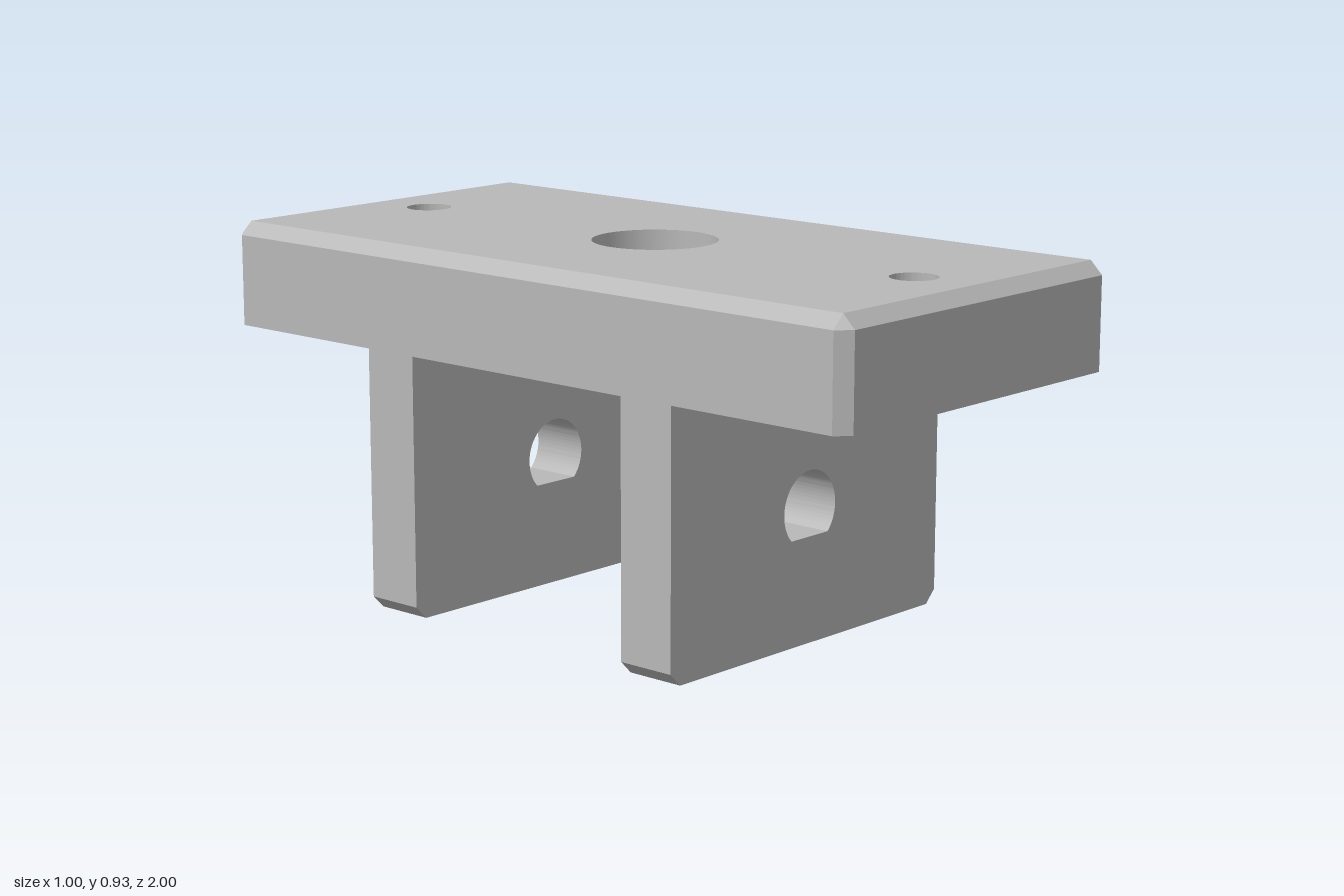
import * as THREE from 'three';
import { toCreasedNormals } from 'three/addons/utils/BufferGeometryUtils.js';

const W = 0.5, L = 1, C = 0.033;                        // half width, half length, chamfer
const BOTTOM = 0.667, SHOULDER = 0.9, TOP = 0.933, FLOOR = 0.765;
const BORE = 0.095, COUNTERBORE = 0.157, SCREW = 0.058, SCREW_Z = 0.8;
const LEG_INNER = 0.345, LEG_OUTER = 0.5;

const polygon = (points) => new THREE.Shape(points.map(([x, y]) => new THREE.Vector2(x, y)));

function circle(r, y = 0) {
  return new THREE.Path().absarc(0, y, r, 0, Math.PI * 2, true);
}

// Flat horizontal face with round holes, looking up or down
function flatFace(shape, holes, y, up) {
  shape.holes.push(...holes);
  return new THREE.ShapeGeometry(shape, 48)
    .rotateX(up ? -Math.PI / 2 : Math.PI / 2).translate(0, y, 0);
}

// Inward-facing wall of a round hole
function holeWall(r, y0, y1, z = 0) {
  const g = new THREE.CylinderGeometry(r, r, y1 - y0, 64, 1, true);
  g.scale(-1, 1, 1).translate(0, (y0 + y1) / 2, z);
  return toCreasedNormals(g, 0.6);
}

// Side walls and top chamfers, joined through three loops of eight corners
function plateSides(outline, topOutline) {
  const loops = [
    outline.map(([x, y]) => [x, BOTTOM, -y]),
    outline.map(([x, y]) => [x, SHOULDER, -y]),
    topOutline.map(([x, y]) => [x, TOP, -y]),
  ];
  const pos = [];
  for (let k = 0; k < 2; k++) {
    for (let i = 0; i < 8; i++) {
      const j = (i + 1) % 8;
      const a = loops[k][i], b = loops[k][j], c = loops[k + 1][j], d = loops[k + 1][i];
      pos.push(...a, ...b, ...c);
      // the corner facets close to a single point at the top
      if (k === 0 || i % 2 === 1) pos.push(...a, ...c, ...d);
    }
  }
  const g = new THREE.BufferGeometry();
  g.setAttribute('position', new THREE.Float32BufferAttribute(pos, 3));
  g.computeVertexNormals();
  return g;
}

// Leg with chamfered lower corners and a teardrop hole
function legGeometry() {
  const shape = polygon([[-W + C, 0], [W - C, 0], [W, C], [W, BOTTOM], [-W, BOTTOM], [-W, C]]);
  const r = 0.096, cy = 0.334;
  const hole = new THREE.Path();
  hole.moveTo(0, cy - r * Math.SQRT2);
  hole.absarc(0, cy, r, -Math.PI / 4, Math.PI * 1.25, false);
  hole.closePath();
  shape.holes.push(hole);
  const g = new THREE.ExtrudeGeometry(shape, {
    depth: LEG_OUTER - LEG_INNER, bevelEnabled: false, curveSegments: 48,
  });
  return toCreasedNormals(g, 0.4);
}

export function createModel() {
  const model = new THREE.Group();
  model.name = 'mountingBracket';
  const grey = new THREE.MeshStandardMaterial({ color: 0xb8b8b8 });
  grey.name = 'plainGrey';

  const add = (parent, name, geometry) => {
    const mesh = new THREE.Mesh(geometry, grey);
    mesh.name = name;
    parent.add(mesh);
    return mesh;
  };

  // Top plate
  const plate = new THREE.Group();
  plate.name = 'topPlate';
  model.add(plate);
  const outline = [
    [W - C, -L], [W, -L + C], [W, L - C], [W - C, L],
    [-W + C, L], [-W, L - C], [-W, -L + C], [-W + C, -L],
  ];
  const topOutline = outline.map(([x, y]) => [Math.sign(x) * (W - C), Math.sign(y) * (L - C)]);
  const topCorners = topOutline.filter((_, i) => i % 2 === 0);
  const screwHoles = () => [circle(SCREW, SCREW_Z), circle(SCREW, -SCREW_Z)];

  add(plate, 'plateSides', plateSides(outline, topOutline));
  add(plate, 'plateTop', flatFace(polygon(topCorners), [circle(COUNTERBORE), ...screwHoles()], TOP, true));
  add(plate, 'plateUnderside', flatFace(polygon(outline), [circle(BORE), ...screwHoles()], BOTTOM, false));

  // Counterbored centre hole
  const ring = new THREE.Shape().absarc(0, 0, COUNTERBORE, 0, Math.PI * 2, false);
  add(plate, 'counterboreFloor', flatFace(ring, [circle(BORE)], FLOOR, true));
  add(plate, 'counterboreWall', holeWall(COUNTERBORE, FLOOR, TOP));
  add(plate, 'centreHoleWall', holeWall(BORE, BOTTOM, FLOOR));

  // Screw holes and legs, front and back
  const leg = legGeometry();
  for (const [side, s] of [['front', 1], ['back', -1]]) {
    add(plate, side + 'ScrewHoleWall', holeWall(SCREW, BOTTOM, TOP, s * SCREW_Z));
    add(model, side + 'Leg', leg).position.z = s > 0 ? LEG_INNER : -LEG_OUTER;
  }
  return model;
}
